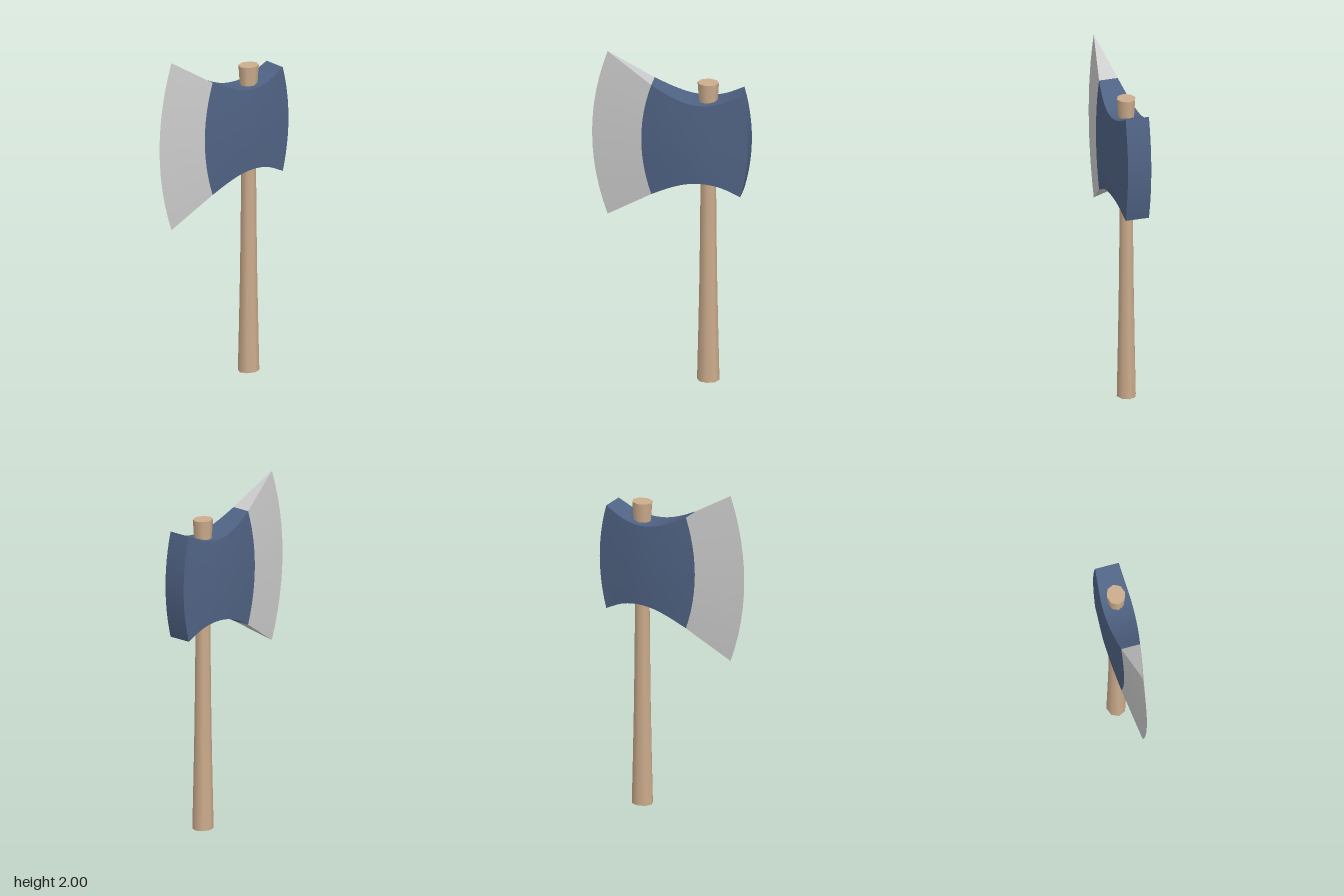
import * as THREE from 'three';
import { mergeGeometries } from 'three/addons/utils/BufferGeometryUtils.js';

const V = (x, y, z) => new THREE.Vector3(x, y, z);
const HEAD_Y = 1.493, HANDLE_X = 0.215;

// Smooth sheet through point(i, j); it faces along (i direction) x (j direction)
function sheet(nu, nv, point, flip = false) {
  const pos = [], index = [];
  for (let j = 0; j <= nv; j++)
    for (let i = 0; i <= nu; i++) pos.push(...point(i / nu, j / nv).toArray());
  for (let j = 0; j < nv; j++)
    for (let i = 0; i < nu; i++) {
      const a = j * (nu + 1) + i, b = a + 1, d = a + nu + 1, c = d + 1;
      if (flip) index.push(a, d, b, b, d, c);
      else index.push(a, b, d, b, c, d);
    }
  const g = new THREE.BufferGeometry();
  g.setAttribute('position', new THREE.Float32BufferAttribute(pos, 3));
  g.setIndex(index);
  g.computeVertexNormals();
  return g;
}

// Wedge between a rim curve (x, half height, half thickness) and a middle curve,
// both running from the cutting edge side (-x) to the poll side (+x)
function wedge(rim, middle, nu, capPoll) {
  const at = (u, v, s) => {
    const p = middle.getPoint(u), r = rim.getPoint(u), k = v * v;
    return V(p.x + (r.x - p.x) * k, HEAD_Y + r.y * v, s * (p.z + (r.z - p.z) * k));
  };
  const parts = [];
  for (const s of [1, -1]) {
    // cheeks, then the top and bottom faces
    parts.push(sheet(nu, 12, (u, w) => at(u, w * 2 - 1, s), s < 0));
    parts.push(sheet(nu, 2, (u, w) => {
      const p = at(u, s, 1);
      return p.setZ(p.z * (1 - 2 * w));
    }, s < 0));
  }
  if (capPoll) {
    parts.push(sheet(1, 12, (w, v) => {
      const p = at(1, v * 2 - 1, 1);
      return p.setZ(p.z * (1 - 2 * w));
    }));
  }
  return mergeGeometries(parts);
}

export function createModel() {
  const model = new THREE.Group();
  const add = (name, geometry, color) => {
    const mesh = new THREE.Mesh(geometry, new THREE.MeshStandardMaterial({ color }));
    mesh.name = name;
    model.add(mesh);
  };

  // Painted head body
  const rim = new THREE.CatmullRomCurve3([
    V(-0.105, 0.34, 0.056), V(0, 0.287, 0.072), V(0.1, 0.252, 0.082),
    V(0.2, 0.243, 0.085), V(0.3, 0.262, 0.079), V(0.412, 0.315, 0.07),
  ]);
  const middle = new THREE.CatmullRomCurve3([
    V(-0.163, 0, 0.055), V(-0.05, 0, 0.074), V(0.08, 0, 0.088),
    V(0.2, 0, 0.091), V(0.32, 0, 0.083), V(0.455, 0, 0.07),
  ]);
  add('axeHead', wedge(rim, middle, 15, true), 0x506384);

  // Bare steel blade, straight from the seam to the cutting edge
  add('blade', wedge(
    new THREE.LineCurve3(V(-0.367, 0.507, 0), V(-0.105, 0.34, 0.056)),
    new THREE.LineCurve3(V(-0.457, 0, 0), V(-0.163, 0, 0.055)), 4, false), 0xcccccc);

  // Eight-sided oval handle, flared at both ends
  const radii = [[0, 0.065], [0.3, 0.058], [0.6, 0.052], [0.9, 0.048], [1.25, 0.045],
    [1.6, 0.047], [1.74, 0.054], [1.85, 0.062]];
  const wall = new THREE.LatheGeometry(radii.map(([y, r]) => new THREE.Vector2(r, y)), 8);
  const ends = [[0, 0.065, 1], [1.85, 0.062, -1]].map(([y, r, s]) =>
    new THREE.CircleGeometry(r, 8).rotateX(s * Math.PI / 2).translate(0, y, 0));
  add('handle', mergeGeometries([wall, ...ends]).scale(1, 1, 0.88).translate(HANDLE_X, 0, 0), 0xccac8c);

  return model;
}
